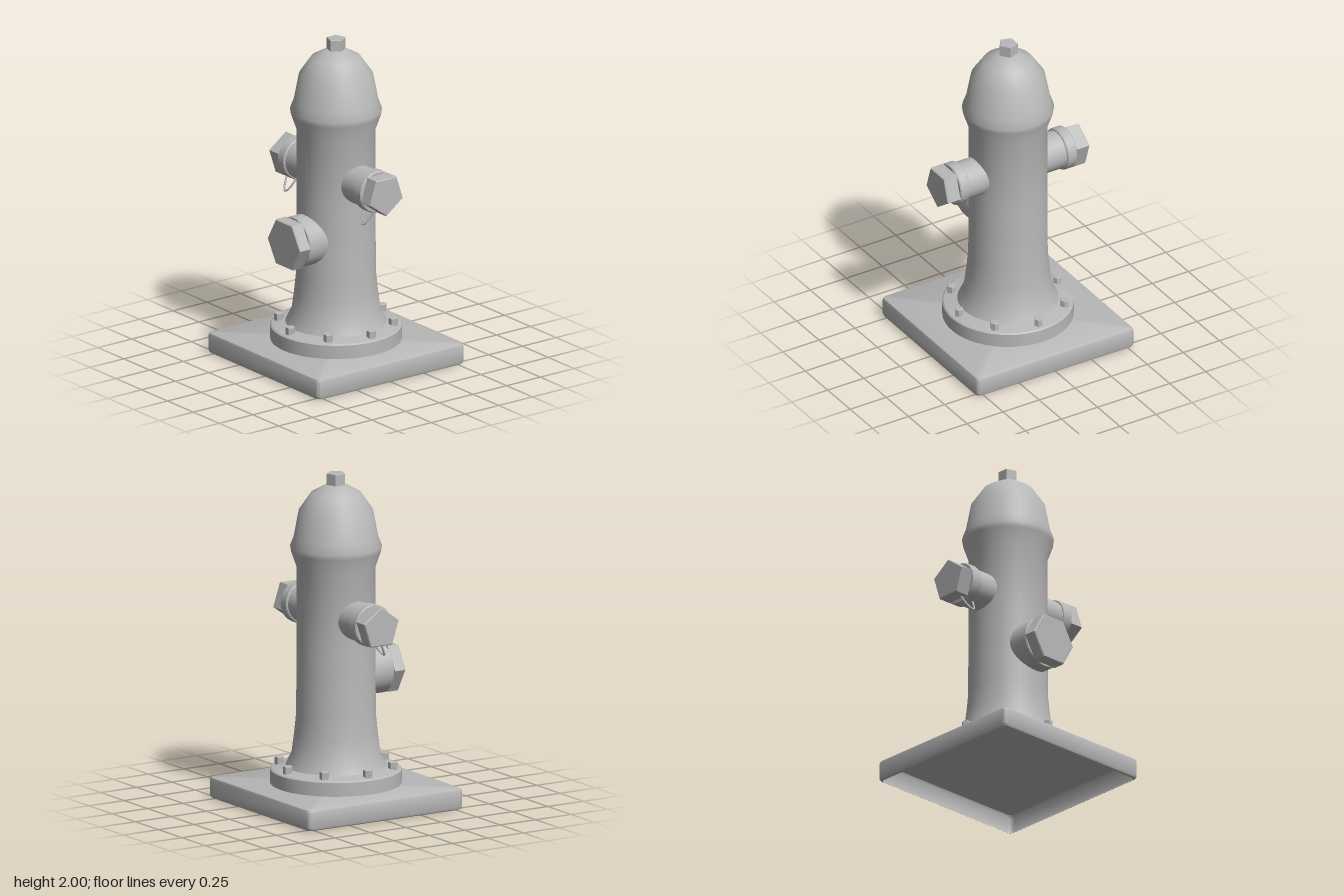
import * as THREE from 'three';
import { toCreasedNormals } from 'three/addons/utils/BufferGeometryUtils.js';

const iron = new THREE.MeshStandardMaterial({ color: 0xb8b8b8, side: THREE.DoubleSide });
iron.name = 'grey iron';

// Turned part: [radius, height] profile, kept sharp above the crease angle
function turned(profile, segments, crease) {
  const points = profile.map(([r, y]) => new THREE.Vector2(r, y));
  return toCreasedNormals(new THREE.LatheGeometry(points, segments), crease);
}

// Bevelled prism standing on y = 0 with one corner towards +x
function prism(radius, height, sides, bevel) {
  const profile = [[0, 0], [radius, 0], [radius, height - bevel], [radius - bevel, height], [0, height]];
  return turned(profile, sides, 0.2).rotateY(Math.PI / 2);
}

// Outline of a rounded square, as points
function roundedSquare(half, radius) {
  const points = [];
  const c = half - radius;
  [[1, 1], [-1, 1], [-1, -1], [1, -1]].forEach(([sx, sz], q) => {
    for (let i = 0; i <= 3; i++) {
      const a = (q + i / 3) * Math.PI / 2;
      points.push([sx * c + radius * Math.cos(a), sz * c + radius * Math.sin(a)]);
    }
  });
  return points;
}

// Hollow base plate, open underneath
function baseGeometry() {
  const sections = [[0.53, 0], [0.54, 0.006], [0.545, 0.02], [0.545, 0.11], [0.54, 0.124], [0.53, 0.13]];
  const positions = [], index = [];
  let n = 0;
  for (const [half, y] of sections) {
    const ring = roundedSquare(half, 0.03);
    n = ring.length;
    for (const [x, z] of ring) positions.push(x, y, z);
  }
  for (let s = 0; s < sections.length - 1; s++) {
    for (let i = 0; i < n; i++) {
      const a = s * n + i, b = s * n + (i + 1) % n;
      index.push(a, a + n, b, b, a + n, b + n);
    }
  }
  const last = (sections.length - 1) * n, centre = positions.length / 3;
  positions.push(0, 0.13, 0);
  for (let i = 0; i < n; i++) index.push(last + i, centre, last + (i + 1) % n);
  const geometry = new THREE.BufferGeometry();
  geometry.setAttribute('position', new THREE.Float32BufferAttribute(positions, 3));
  geometry.setIndex(index);
  return toCreasedNormals(geometry, 0.6);
}

export function createModel() {
  const model = new THREE.Group();
  model.name = 'hydrant';

  function add(parent, name, geometry, x = 0, y = 0, z = 0) {
    const mesh = new THREE.Mesh(geometry, iron);
    mesh.name = name;
    mesh.position.set(x, y, z);
    parent.add(mesh);
    return mesh;
  }

  // Base plate, set very slightly askew
  add(model, 'basePlate', baseGeometry()).rotation.y = -0.005;

  // Flange with its ring of bolts
  add(model, 'flange', turned([[0.388, 0.13], [0.388, 0.213], [0.38, 0.22], [0.29, 0.238]], 48, 0.5));
  for (let i = 0; i < 8; i++) {
    const a = i * Math.PI / 4;
    add(model, 'flangeBolt', prism(0.028, 0.05, 6, 0.003), 0.34 * Math.cos(a), 0.22, 0.34 * Math.sin(a));
  }

  // Barrel and domed bonnet in one turned shape
  add(model, 'barrelAndBonnet', turned([
    [0.3, 0.235], [0.262, 0.315], [0.247, 0.43], [0.235, 0.55], [0.233, 1.0], [0.233, 1.435],
    [0.266, 1.53], [0.271, 1.56], [0.25, 1.615], [0.22, 1.775], [0.148, 1.88], [0.06, 1.93], [0, 1.932],
  ], 40, 0.9));
  add(model, 'topNut', prism(0.058, 0.075, 5, 0.003), 0, 1.925, 0);

  // Two side outlets: pipe, collar, five-sided cap and hanging retainer loop
  for (const side of [1, -1]) {
    const outlet = new THREE.Group();
    outlet.name = side > 0 ? 'leftOutlet' : 'rightOutlet';
    outlet.position.y = 1.15;
    model.add(outlet);
    const axis = new THREE.Group();
    axis.name = 'outletAxis';
    axis.rotation.z = -side * Math.PI / 2;
    outlet.add(axis);
    add(axis, 'outletPipe', turned([[0.116, 0.15], [0.116, 0.35]], 32, 0.5));
    add(axis, 'outletCollar', turned([
      [0.11, 0.338], [0.122, 0.338], [0.128, 0.345], [0.128, 0.398], [0.122, 0.405], [0, 0.405],
    ], 32, 0.5));
    add(axis, 'outletCap', prism(0.129, 0.09, 5, 0.006), 0, 0.402, 0);

    const path = new THREE.CatmullRomCurve3([
      [0.325, -0.09, 0.03], [0.337, -0.135, 0.055], [0.358, -0.18, 0.083], [0.375, -0.19, 0.092],
      [0.392, -0.18, 0.083], [0.413, -0.135, 0.055], [0.425, -0.09, 0.03],
    ].map(([x, y, z]) => new THREE.Vector3(side * x, y, z)));
    add(outlet, 'retainerLoop', new THREE.TubeGeometry(path, 24, 0.006, 6));
  }

  // Large front outlet with six-sided cap
  const front = new THREE.Group();
  front.name = 'frontOutlet';
  front.position.y = 0.79;
  front.rotation.x = Math.PI / 2;
  model.add(front);
  add(front, 'frontPipe', turned([[0.154, 0.12], [0.154, 0.306], [0.149, 0.312], [0, 0.312]], 36, 0.5));
  add(front, 'frontCap', prism(0.16, 0.077, 6, 0.006), 0, 0.311, 0);

  return model;
}
